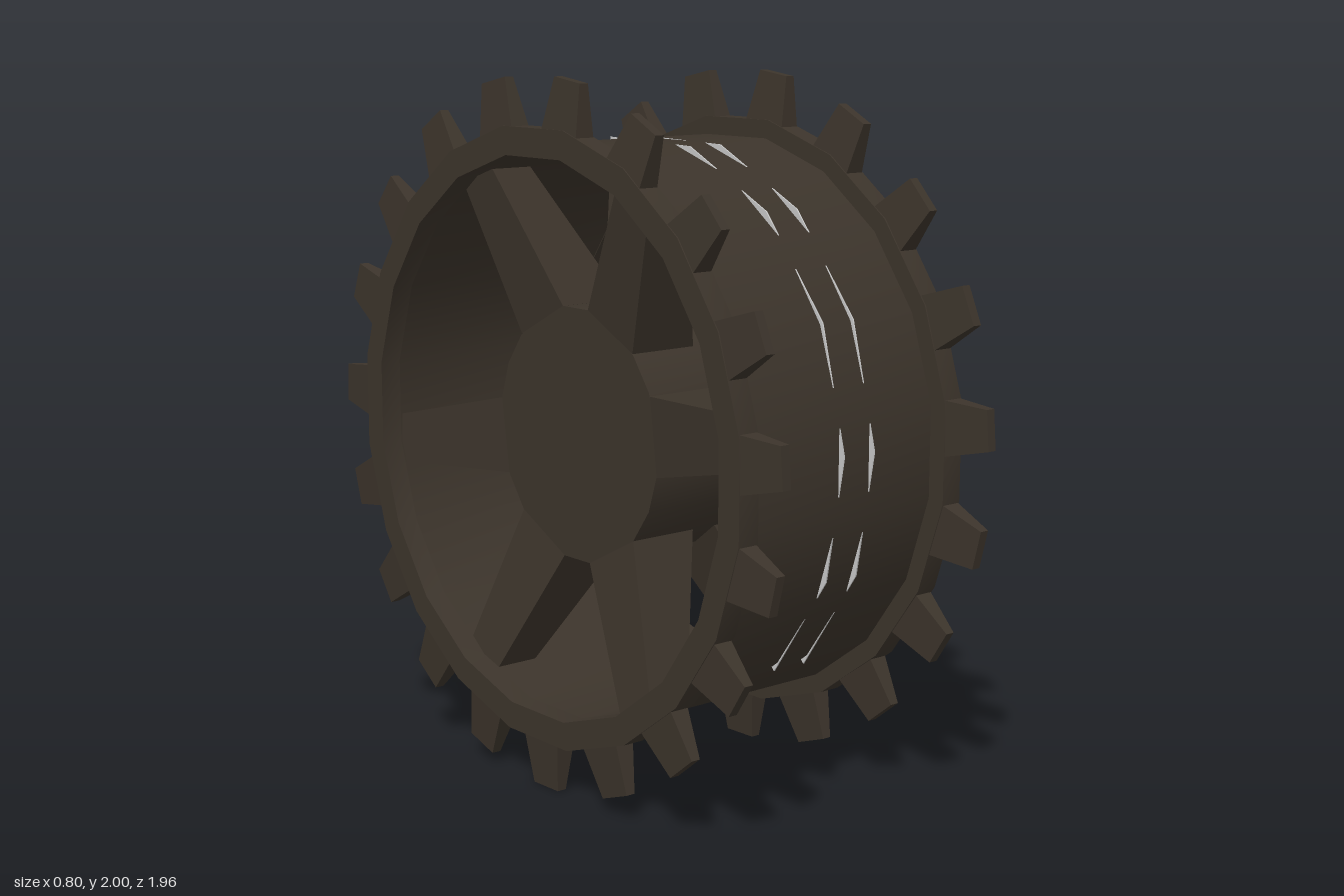
import * as THREE from 'three';
import { toCreasedNormals } from 'three/addons/utils/BufferGeometryUtils.js';

const SIDES = 20, TEETH = 19, FULL = Math.PI * 2;
const OVAL = 0.982; // the wheel is slightly narrower along z than it is tall
const rad = THREE.MathUtils.degToRad;

// Turned part around the x axis; the profile is a list of [radius, x]
function turned(profile, segments = SIDES, start = Math.PI / SIDES, arc = FULL) {
  const points = profile.map(([r, x]) => new THREE.Vector2(r, x));
  const geo = new THREE.LatheGeometry(points, segments, start, arc);
  geo.rotateZ(-Math.PI / 2);
  geo.scale(1, 1, OVAL);
  return toCreasedNormals(geo, 0.6);
}

// Tapered radial block: each end is { r, x: [low, high], w }, angle runs from +z over the top
function radialBlock(inner, outer, angle) {
  const geo = new THREE.BoxGeometry(1, 1, 1);
  const p = geo.attributes.position;
  for (let i = 0; i < p.count; i++) {
    const end = p.getY(i) < 0 ? inner : outer;
    p.setXYZ(i, end.x[p.getX(i) < 0 ? 0 : 1], end.r, Math.sign(p.getZ(i)) * end.w / 2);
  }
  geo.rotateX(Math.PI / 2 - angle);
  geo.scale(1, 1, OVAL);
  geo.computeVertexNormals();
  return geo;
}

export function createModel() {
  const model = new THREE.Group();
  const darkMetal = new THREE.MeshStandardMaterial({ color: 0x3c342b });
  darkMetal.name = 'darkMetal';
  const paleGrey = new THREE.MeshStandardMaterial({ color: 0xc8c8c8, side: THREE.DoubleSide });
  paleGrey.name = 'paleGrey';

  const wheel = new THREE.Group();
  wheel.name = 'sprocketWheel';
  wheel.position.y = 1;
  model.add(wheel);
  const add = (name, geo, mat = darkMetal, parent = wheel) => {
    const mesh = new THREE.Mesh(geo, mat);
    mesh.name = name;
    parent.add(mesh);
  };

  // Drum between the two toothed rings
  add('drum', turned([[0.815, -0.35], [0.815, 0.35], [0.79, 0.35], [0.79, -0.35], [0.815, -0.35]]));

  // Hub: outer wall with a flat face on one side, open on the other
  add('hub', turned([[0, -0.255], [0.362, -0.255], [0.362, 0.28]]));
  add('hubFloor', turned([[0.36, -0.245], [0, -0.245]]));

  // Inner guide plates, partial rings inside the drum
  for (const x of [-0.005, 0.105]) {
    add('guidePlate', turned([[0.64, x - 0.002], [0.825, x - 0.002], [0.825, x + 0.002],
      [0.64, x + 0.002], [0.64, x - 0.002]], 6, rad(-101), rad(148)), paleGrey);
  }

  // Each side has a ring, teeth and wedge spokes
  for (const side of [-1, 1]) {
    const half = new THREE.Group();
    half.name = side > 0 ? 'leftSide' : 'rightSide';
    wheel.add(half);
    const span = (a, b) => (side > 0 ? [a, b] : [-b, -a]);

    const [lo, hi] = span(0.335, 0.4);
    add('rimRing', turned([[0.868, lo], [0.868, hi], [0.788, hi], [0.788, lo], [0.868, lo]]), darkMetal, half);

    // Teeth are spaced a little unevenly, as if set out from a point off centre
    for (let i = 0; i < TEETH; i++) {
      const even = 180 + i * 360 / TEETH;
      const fromTop = even - 1.4 + 1.5 * Math.cos(rad(even - 110));
      add('tooth', radialBlock({ r: 0.83, x: span(0.335, 0.4), w: 0.16 },
        { r: 0.998, x: span(0.355, 0.383), w: 0.112 }, rad(90 - fromTop)), darkMetal, half);
    }

    for (const deg of [7.5, 63.5, 117, 188.5, 243, 297]) {
      add('spoke', radialBlock({ r: 0.345, x: span(0.04, 0.255), w: 0.22 },
        { r: 0.79, x: span(0.2, 0.33), w: 0.145 }, rad(deg)), darkMetal, half);
    }
  }
  return model;
}
